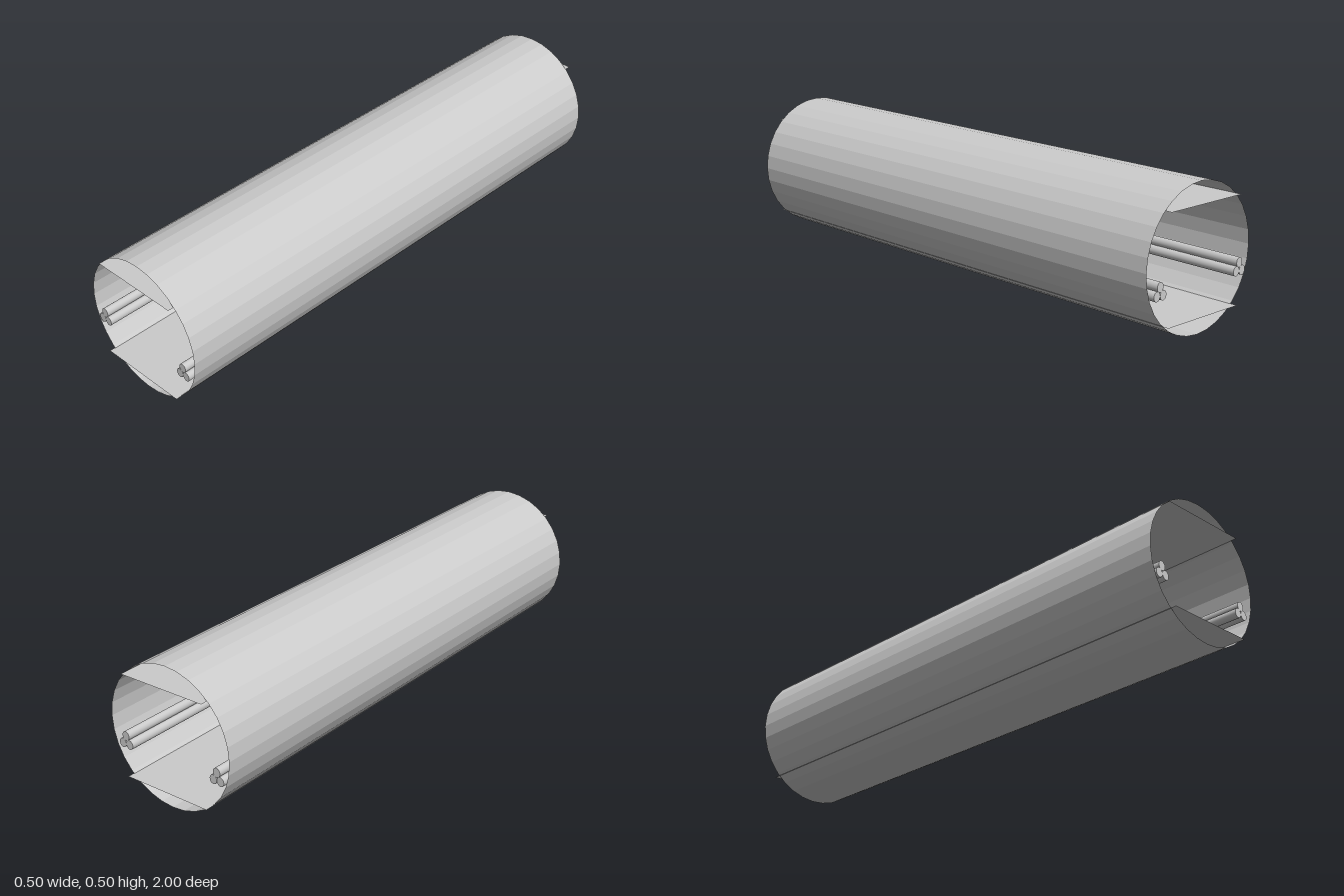
import * as THREE from 'three';

const smooth = new THREE.MeshStandardMaterial({ color: 0xcccccc });
const flat = new THREE.MeshStandardMaterial({ color: 0xcccccc, flatShading: true, side: THREE.DoubleSide });

export function createModel() {
  const model = new THREE.Group();

  function add(name, geometry, material, x, y, z) {
    const mesh = new THREE.Mesh(geometry, material);
    mesh.name = name;
    mesh.position.set(x, y, z);
    model.add(mesh);
    return mesh;
  }

  // Thin 32-sided tunnel wall, open at both ends
  const wall = new THREE.CylinderGeometry(0.248, 0.248, 1.955, 32, 1, true).rotateX(Math.PI / 2);
  add('tunnelWall', wall, flat, 0, 0.25, 0.002);

  // Sheet floor and ceiling, slightly longer than the wall
  const sheet = new THREE.PlaneGeometry(0.335, 2).rotateX(-Math.PI / 2);
  add('floor', sheet, flat, 0, 0.066, 0);
  add('ceiling', sheet, flat, 0, 0.431, 0);

  // Stacked pipes along each side, resting on short shelf brackets
  const pipe = new THREE.CylinderGeometry(1, 1, 1.96, 24).rotateX(Math.PI / 2).scale(0.0143, 0.0165, 1);
  const bracket = new THREE.BoxGeometry(0.1, 0.015, 0.045);
  for (const [side, x, y, shelfX] of [['left', 0.187, 0.169, 0.17], ['right', -0.198, 0.171, -0.168]]) {
    for (const [dx, dy] of [[-0.0145, 0], [0.0145, 0], [0, 0.028]]) {
      add(side + 'Pipe', pipe, smooth, x + dx, y + dy, 0);
    }
    for (const z of [-0.53, 0.12]) {
      add(side + 'PipeBracket', bracket, smooth, shelfX, 0.1455, z);
    }
  }

  // Ceiling light boxes and a round lamp near the back
  const lightBox = new THREE.BoxGeometry(0.08, 0.027, 0.16);
  for (const z of [-0.4, 0.1, 0.6]) add('ceilingLight', lightBox, smooth, 0.001, 0.417, z);
  const lamp = new THREE.SphereGeometry(1, 24, 16).scale(0.02, 0.022, 0.02);
  add('roundLamp', lamp, smooth, 0.008, 0.419, -0.8);

  return model;
}
